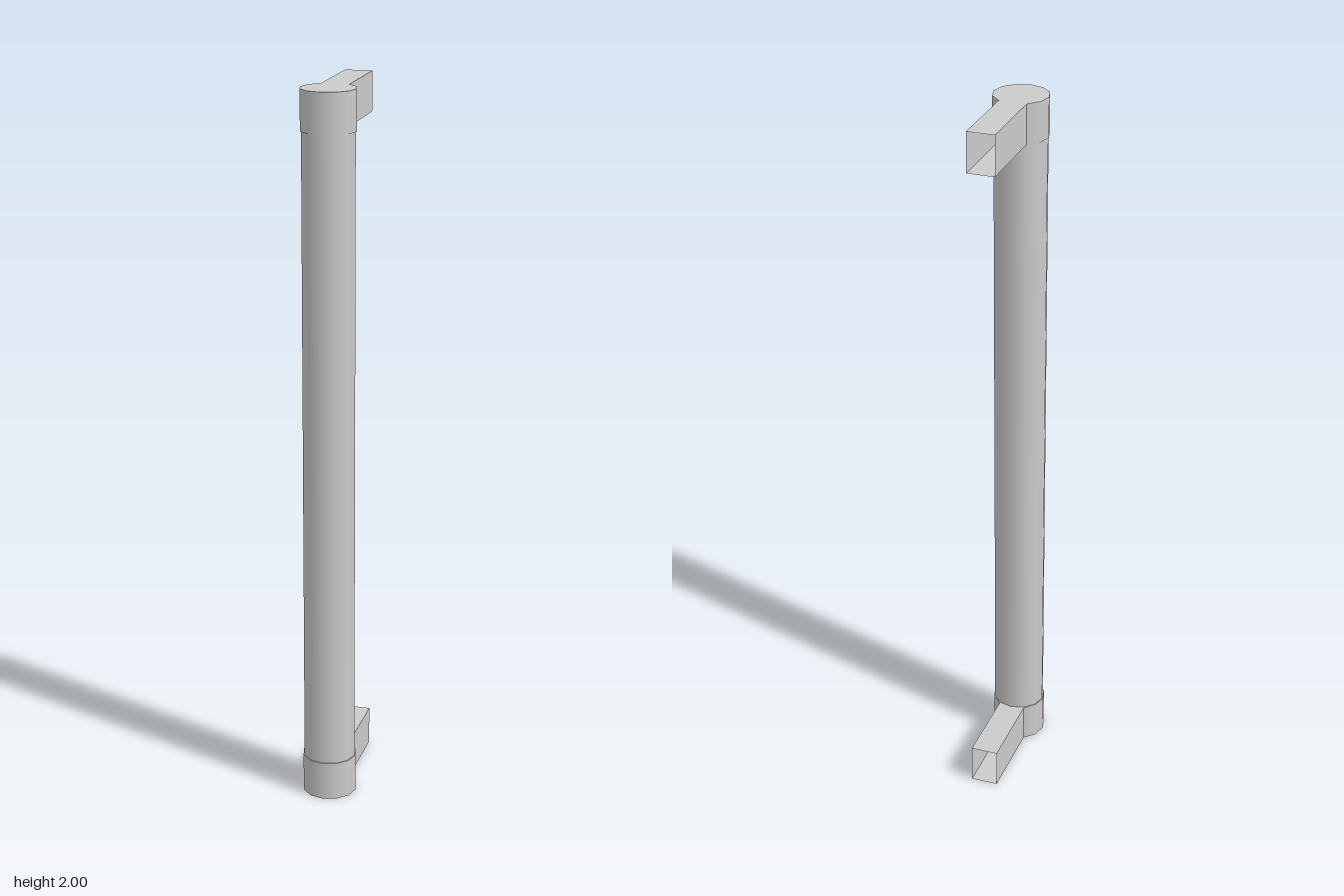
import * as THREE from 'three';

const SIDES = 12, RADIUS = 0.076, BAR_RADIUS = 0.073, BAR_Z = 0.113;
const HEIGHT = 2, COLLAR = 0.11, BACK_Z = -0.19;
const STEP = (Math.PI * 2) / SIDES;

const material = new THREE.MeshStandardMaterial({ color: 0xcccccc, side: THREE.DoubleSide });

function addMesh(parent, name, geometry, x, y, z) {
  const mesh = new THREE.Mesh(geometry, material);
  mesh.name = name;
  mesh.position.set(x, y, z);
  parent.add(mesh);
  return mesh;
}

// Hollow rectangular arm, open at both ends, its front edge fitted to the collar's facets
function armGeometry() {
  const width = 2 * RADIUS * Math.sin(STEP);
  const frontZ = BAR_Z - RADIUS * Math.cos(STEP);
  const geometry = new THREE.BoxGeometry(width, COLLAR, frontZ - BACK_Z, 2, 1, 1);
  geometry.setIndex(Array.from(geometry.index.array).slice(0, 36)); // sides, top and bottom only
  geometry.clearGroups();
  geometry.translate(0, 0, (frontZ + BACK_Z) / 2);
  const p = geometry.attributes.position;
  for (let i = 0; i < p.count; i++) {
    if (Math.abs(p.getX(i)) < 1e-6 && p.getZ(i) > 0) p.setZ(i, BAR_Z - RADIUS);
  }
  return geometry;
}

export function createModel() {
  const group = new THREE.Group();
  group.name = 'pullHandle';

  // Long grip between the two collars
  const grip = new THREE.CylinderGeometry(BAR_RADIUS, BAR_RADIUS, HEIGHT - 2 * COLLAR, SIDES, 1, true);
  addMesh(group, 'grip', grip, 0, HEIGHT / 2, BAR_Z);

  // Matching mounts at the bottom and top
  for (const [name, y] of [['lowerMount', COLLAR / 2], ['upperMount', HEIGHT - COLLAR / 2]]) {
    const mount = new THREE.Group();
    mount.name = name;
    mount.position.y = y;
    group.add(mount);

    // Collar wall, left open where the arm joins at the back
    const wall = new THREE.CylinderGeometry(RADIUS, RADIUS, COLLAR, SIDES - 2, 1, true,
      Math.PI + STEP, Math.PI * 2 - 2 * STEP);
    addMesh(mount, 'collar', wall, 0, 0, BAR_Z);

    // Flat discs closing the collar
    for (const side of [-1, 1]) {
      const disc = new THREE.CircleGeometry(RADIUS, SIDES).rotateX(-side * Math.PI / 2);
      addMesh(mount, side > 0 ? 'collarTop' : 'collarBottom', disc, 0, side * COLLAR / 2, BAR_Z);
    }

    addMesh(mount, 'arm', armGeometry(), 0, 0, 0);
  }
  return group;
}
